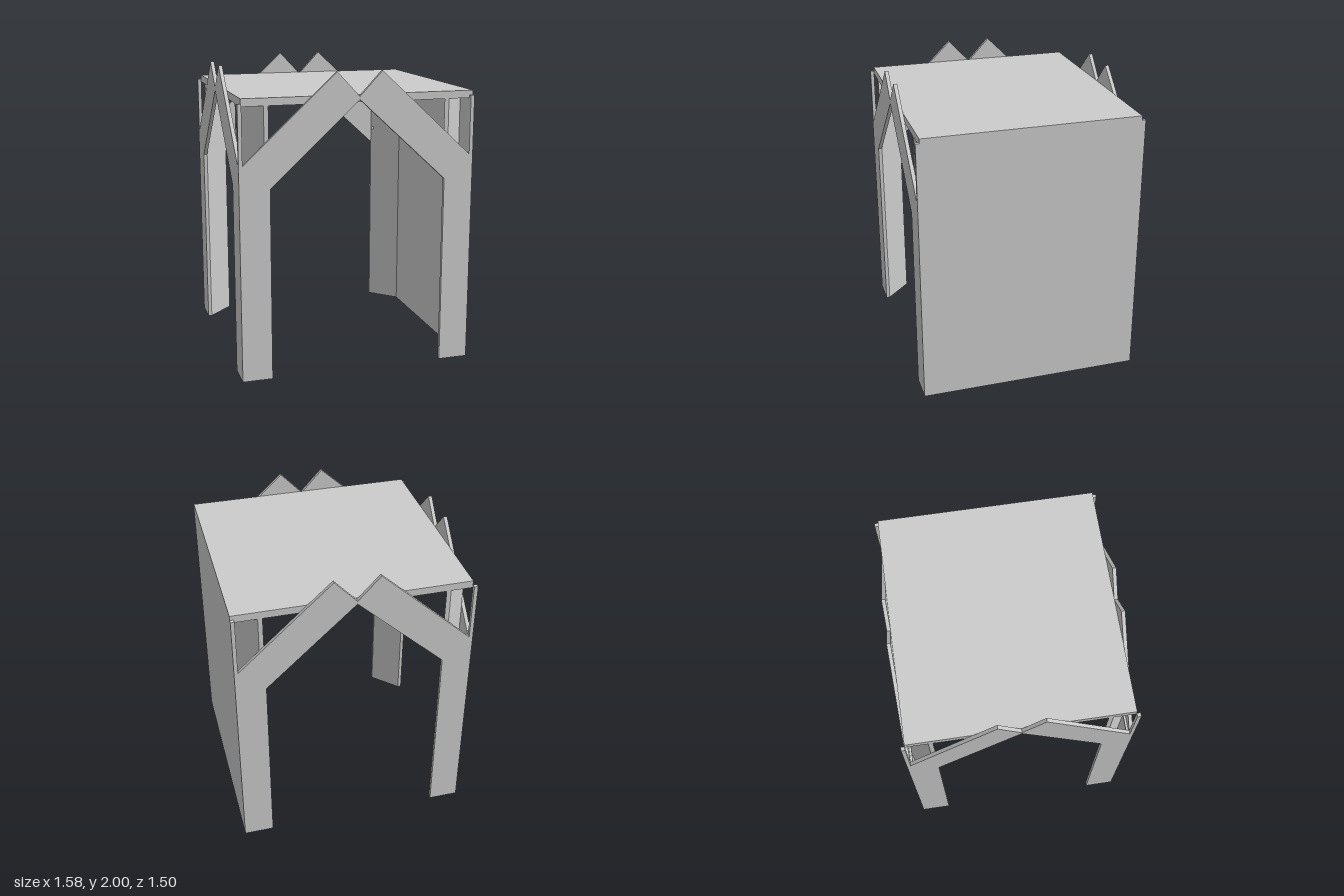
import * as THREE from 'three';

const T = 0.025;          // panel thickness
const X = 0.79, Z = 0.75; // half width and half depth
const LEG = 0.2;          // width of each leg face

export function createModel() {
  const model = new THREE.Group();
  const material = new THREE.MeshStandardMaterial({ color: 0xcccccc, flatShading: true });

  function add(name, geometry, x = 0, y = 0, z = 0, turn = 0) {
    const mesh = new THREE.Mesh(geometry, material);
    mesh.name = name;
    mesh.position.set(x, y, z);
    mesh.rotation.y = turn;
    model.add(mesh);
    return mesh;
  }

  // Two leg faces joined by slanted braces whose square ends rise to twin peaks
  function archGeometry(half) {
    const inner = half - LEG, outer = half - T;
    const side = [[inner, 0], [outer, 0], [outer, 1.43], [0.15, 2]];
    const points = [
      [0, 1.82], [inner, 1.275], ...side, [0, 1.84],
      ...side.slice().reverse().map(([x, y]) => [-x, y]), [-inner, 1.275],
    ];
    const shape = new THREE.Shape(points.map(([x, y]) => new THREE.Vector2(x, y)));
    return new THREE.ExtrudeGeometry(shape, { depth: T, bevelEnabled: false }).translate(0, 0, -T / 2);
  }

  // Open arches on three sides
  add('frontArch', archGeometry(X), 0, 0, Z - T / 2);
  add('backArch', archGeometry(X), 0, 0, -Z + T / 2);
  add('sideArch', archGeometry(Z), -X + T / 2, 0, 0, Math.PI / 2);

  // Closed wall on the remaining side
  add('wall', new THREE.BoxGeometry(T, 1.82, 2 * Z), X - T / 2, 0.91, 0);

  // Flat roof resting between the arches
  add('roof', new THREE.BoxGeometry(2 * X - T, 0.05, 2 * Z - 2 * T), T / 2, 1.825, 0);

  // Diagonal panels turn every corner into a hollow triangular leg
  const a = LEG - T; // reach of the diagonal inside the leg faces
  const diagonal = new THREE.Shape([
    [LEG, T], [T, LEG], [T, LEG - 0.03], [LEG - 0.03, T],
  ].map(([x, y]) => new THREE.Vector2(x, y)));
  const diagonalGeometry = new THREE.ExtrudeGeometry(diagonal, { depth: 1.8, bevelEnabled: false })
    .rotateX(-Math.PI / 2); // height along y, second leg along -z
  const corners = [[-1, 1, 0], [1, 1, Math.PI / 2], [1, -1, Math.PI], [-1, -1, -Math.PI / 2]];
  for (const [sx, sz, turn] of corners) {
    add('legDiagonal', diagonalGeometry, sx * X, 0, sz * Z, turn);
    // Slim corner posts carry the roof on the open side
    if (sx < 0) {
      add('cornerPost', new THREE.BoxGeometry(T, 1.82, T), -X + T / 2, 0.91, sz * (Z - T / 2));
    }
    // Small stop block inside the top of each leg face
    add('braceStop', new THREE.BoxGeometry(a, 0.02, T * 0.6),
      sx * (X - T - a / 2), 1.39, sz * (Z - T - T * 0.3));
  }

  return model;
}
